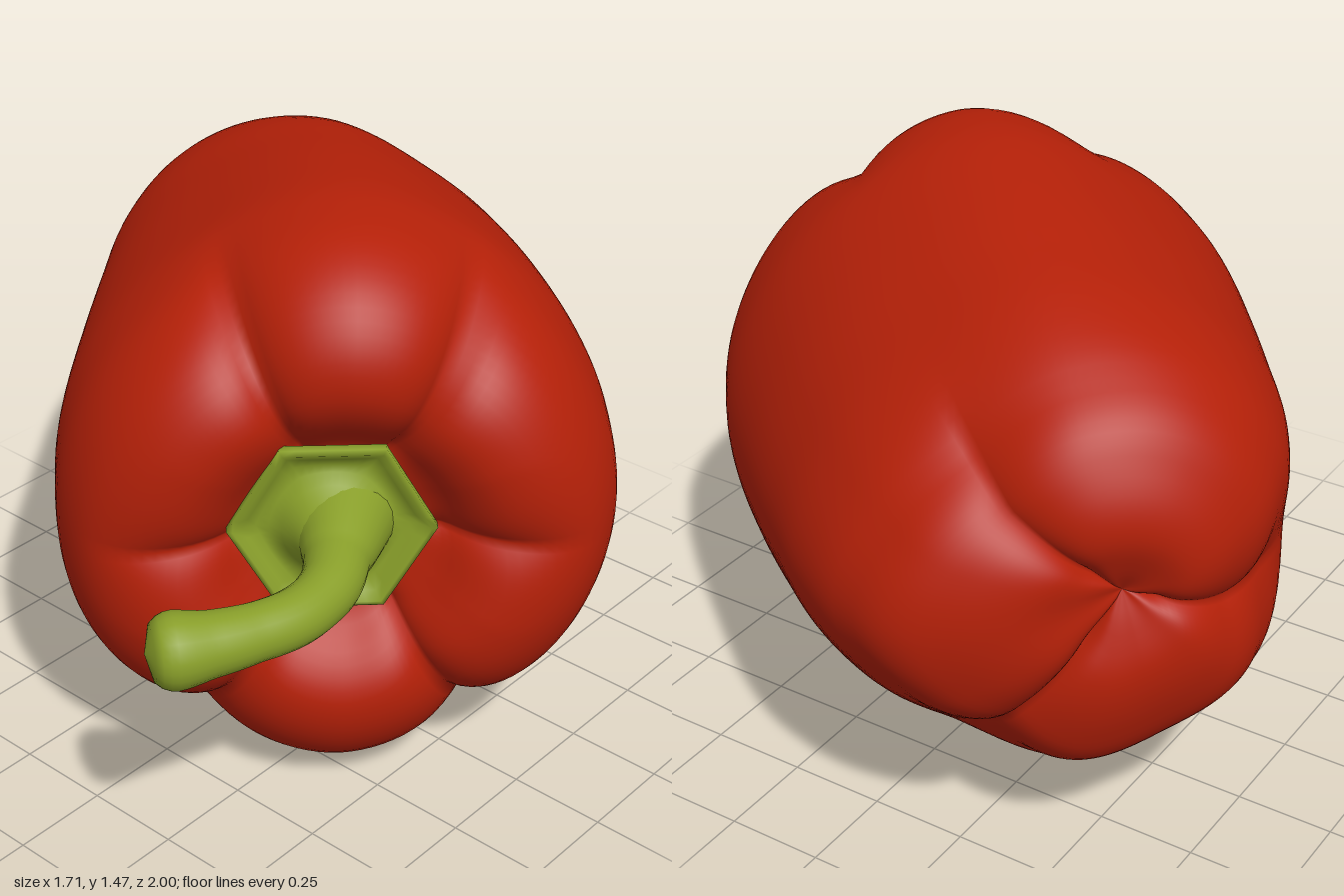
import * as THREE from 'three';

const TAU = Math.PI * 2;
const RAD = Math.PI / 180;
const { lerp, clamp, smoothstep } = THREE.MathUtils;

// Radii of the fruit every 30 degrees, near the shoulder and near the tip
const SHOULDER = [0.695, 0.685, 0.70, 0.735, 0.69, 0.69, 0.695, 0.72, 0.71, 0.735, 0.70, 0.70];
const TIP = [0.595, 0.56, 0.55, 0.615, 0.63, 0.62, 0.56, 0.60, 0.565, 0.575, 0.52, 0.55];

// Smooth periodic interpolation of a radius list
function radiusAt(list, angle) {
  const n = list.length;
  const f = (angle / TAU) * n;
  const i = Math.floor(f);
  const t = f - i;
  const [a, b, c, d] = [-1, 0, 1, 2].map((k) => list[(i + k + n) % n]);
  return b + 0.5 * t * (c - a + t * (2 * a - 5 * b + 4 * c - d + t * (3 * (b - c) + d - a)));
}

// Sharp-bottomed groove around each of the given angles (degrees)
function crease(angles, theta, width) {
  let g = 0;
  for (const deg of angles) {
    let d = Math.abs(theta - deg * RAD) % TAU;
    d = Math.min(d, TAU - d);
    g = Math.max(g, Math.exp(-d / width));
  }
  return g;
}

// Joins closed rings of points into one smooth surface
function skin(rings) {
  const n = rings[0].length;
  const index = [];
  for (let i = 0; i < rings.length - 1; i++) {
    for (let j = 0; j < n; j++) {
      const a = i * n + j;
      const b = i * n + ((j + 1) % n);
      index.push(a, b, b + n, a, b + n, a + n);
    }
  }
  const geometry = new THREE.BufferGeometry().setFromPoints(rings.flat());
  geometry.setIndex(index);
  geometry.computeVertexNormals();
  return geometry;
}

// Fruit along z: each profile point is (share of full radius, z)
function fruitGeometry() {
  const profile = new THREE.CatmullRomCurve3(
    [
      [0, -0.91], [0.15, -0.95], [0.35, -0.98], [0.59, -0.955], [0.83, -0.875], [0.955, -0.75],
      [1, -0.58], [1, -0.35], [1, -0.1], [1, 0.2], [0.97, 0.38], [0.88, 0.51], [0.73, 0.59],
      [0.57, 0.605], [0.45, 0.565], [0.34, 0.49], [0.2, 0.445], [0, 0.43],
    ].map(([k, s]) => new THREE.Vector3(k, s, 0)), false, 'centripetal');
  const rings = profile.getSpacedPoints(80).map(({ x, y: s }) => {
    const k = Math.max(0, x);
    const taper = clamp((0.2 - s) / 0.8, 0, 1.25) ** 1.6;
    const front = smoothstep(s, 0.1, 0.55) * smoothstep(k, 0.15, 0.45);
    const inner = front * (1 - smoothstep(k, 0.5, 0.9));
    const back = smoothstep(-s, 0.6, 0.93) * smoothstep(k, 0, 0.25);
    const pinch = s < 0 ? Math.max(0, 1 - k / 0.7) : 0;
    const ring = [];
    for (let j = 0; j < 144; j++) {
      const a = (j / 144) * TAU;
      const gf = Math.max(
        front * crease([62, 114, 238, 300], a, 0.15),
        0.8 * inner * crease([0, 180], a, 0.17));
      const gb = back * crease([60, 180, 300], a, 0.2);
      const full = lerp(radiusAt(SHOULDER, a), radiusAt(TIP, a), taper);
      const r = k * full * (1 - 0.07 * gf - 0.06 * gb);
      ring.push(new THREE.Vector3(
        r * Math.cos(a) - 0.09 * pinch,
        r * Math.sin(a) + 0.07 * pinch,
        s - 0.085 * gf + 0.055 * gb));
    }
    return ring;
  });
  return skin(rings);
}

// Six-sided cap with a raised rim, a dished face and a round collar
function calyxGeometry() {
  // [z, radius, how hexagonal]
  const profile = [
    [0.40, 0.17, 1], [0.46, 0.225, 1], [0.495, 0.25, 1], [0.52, 0.25, 1], [0.525, 0.235, 1],
    [0.505, 0.212, 1], [0.492, 0.18, 0.7], [0.494, 0.15, 0.3], [0.515, 0.12, 0], [0.56, 0.09, 0],
    [0.60, 0.07, 0],
  ];
  const rings = profile.map(([z, radius, hex]) => {
    const ring = [];
    for (let j = 0; j < 48; j++) {
      const a = (j / 48) * TAU;
      const side = Math.cos(Math.PI / 6) / Math.cos((a % (Math.PI / 3)) - Math.PI / 6);
      const r = radius * lerp(1, side, hex);
      ring.push(new THREE.Vector3(r * Math.cos(a), r * Math.sin(a), z));
    }
    return ring;
  });
  return skin(rings);
}

// Curved stalk that flares at both ends and closes with a rounded cut
function stemGeometry() {
  const path = new THREE.CatmullRomCurve3([
    [0.39, 0.77, 0.27], [0.48, 0.768, 0.39], [0.555, 0.76, 0.51], [0.572, 0.755, 0.64],
    [0.535, 0.755, 0.77], [0.48, 0.755, 0.88], [0.42, 0.755, 0.965],
  ].map((p) => new THREE.Vector3(...p)));
  const steps = 48;
  const frames = path.computeFrenetFrames(steps);
  // [position along the path, radius]
  const widths = [[0, 0.13], [0.12, 0.105], [0.25, 0.077], [0.45, 0.067], [0.68, 0.067],
    [0.82, 0.076], [0.91, 0.09], [0.95, 0.086], [0.98, 0.065], [1, 0]];
  const widthAt = (t) => {
    const i = Math.max(1, widths.findIndex(([p]) => p >= t));
    const [[p0, r0], [p1, r1]] = [widths[i - 1], widths[i]];
    return lerp(r0, r1, (t - p0) / (p1 - p0));
  };
  const rings = [];
  for (let i = 0; i <= steps; i++) {
    const t = i / steps;
    const centre = path.getPointAt(t);
    const r = widthAt(t);
    const ring = [];
    for (let j = 0; j < 24; j++) {
      const a = (j / 24) * TAU;
      ring.push(centre.clone()
        .addScaledVector(frames.normals[i], r * Math.cos(a))
        .addScaledVector(frames.binormals[i], r * Math.sin(a)));
    }
    rings.push(ring);
  }
  return skin(rings);
}

export function createModel() {
  const red = new THREE.MeshStandardMaterial({ color: 0xb42008 });
  red.name = 'pepperRed';
  const green = new THREE.MeshStandardMaterial({ color: 0x899f2a });
  green.name = 'stalkGreen';

  const add = (parent, name, geometry, material) => {
    const mesh = new THREE.Mesh(geometry, material);
    mesh.name = name;
    parent.add(mesh);
    return mesh;
  };

  const model = new THREE.Group();
  model.name = 'bellPepper';

  // Fruit and cap lie on their side, turned towards the front left
  const lying = new THREE.Group();
  lying.name = 'fruitAndCalyx';
  lying.rotation.y = 44 * RAD;
  lying.position.set(0.065, 0.735, -0.063);
  model.add(lying);
  add(lying, 'fruit', fruitGeometry(), red);
  add(lying, 'calyx', calyxGeometry(), green).position.set(-0.025, 0.035, 0.01);

  add(model, 'stem', stemGeometry(), green);
  return model;
}
